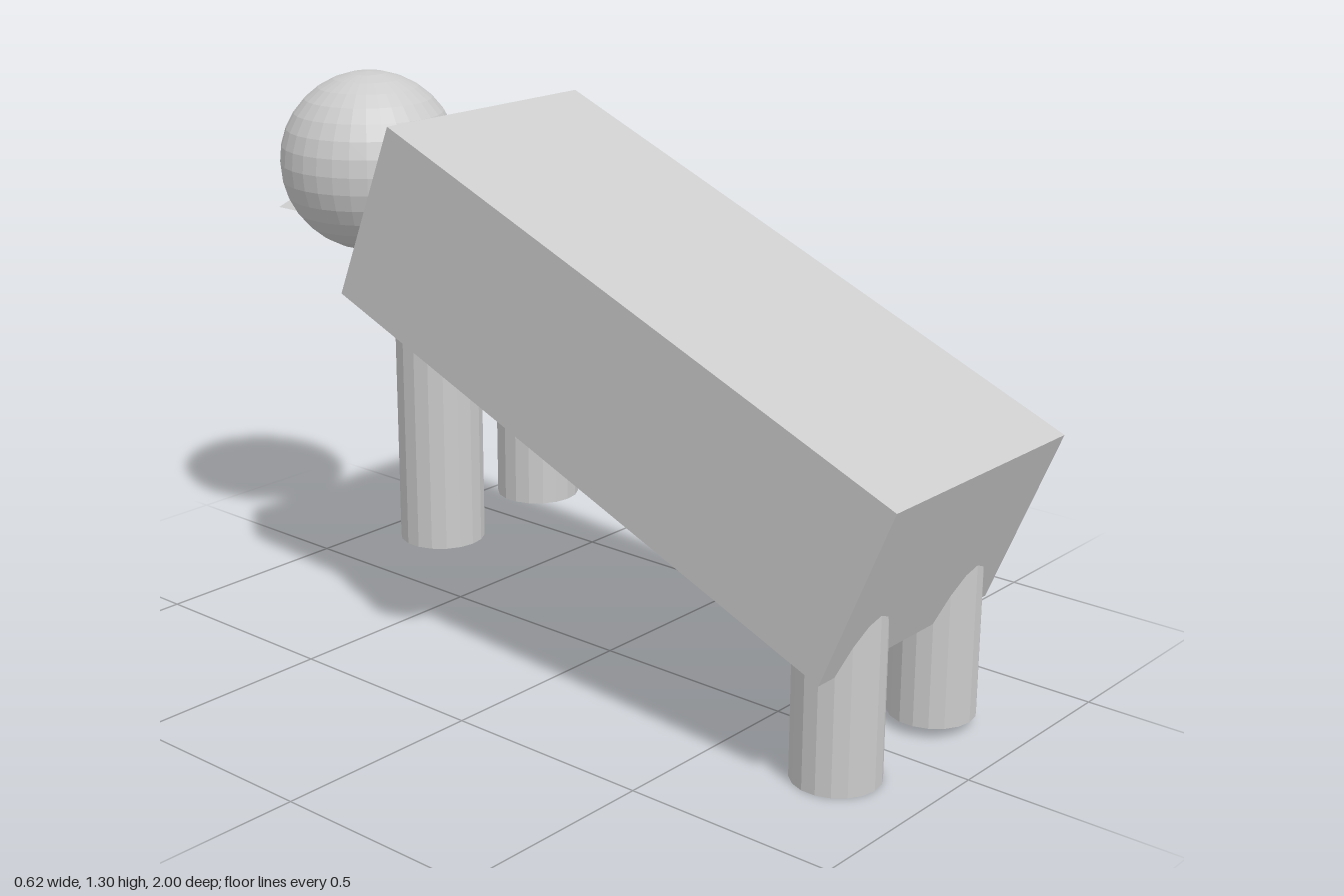
import * as THREE from 'three';

const material = new THREE.MeshStandardMaterial({ color: 0xcccccc, flatShading: true });

function add(group, name, geometry, x, y, z) {
  const mesh = new THREE.Mesh(geometry, material);
  mesh.name = name;
  mesh.position.set(x, y, z);
  group.add(mesh);
  return mesh;
}

// Pointed lens outline made of two arcs
function lens(path, halfWidth, halfHeight) {
  path.moveTo(-halfWidth, 0);
  path.quadraticCurveTo(0, -2 * halfHeight, halfWidth, 0);
  path.quadraticCurveTo(0, 2 * halfHeight, -halfWidth, 0);
  return path;
}

export function createModel() {
  const model = new THREE.Group();
  model.name = 'animal';

  // Body: long box sloping down towards +z
  const body = add(model, 'body', new THREE.BoxGeometry(0.624, 0.447, 1.498), 0, 0.765, 0.2225);
  body.rotation.x = 0.392;

  // Legs: [name, x, bottom, z]
  const legLength = 0.52;
  const legs = [
    ['frontLegRight', -0.17, 0, 0.78],
    ['frontLegLeft', 0.19, 0.025, 0.78],
    ['rearLegRight', -0.17, 0.25, -0.383],
    ['rearLegLeft', 0.165, 0.27, -0.383],
  ];
  for (const [name, x, bottom, z] of legs) {
    add(model, name, new THREE.CylinderGeometry(0.1, 0.1, legLength, 18), x, bottom + legLength / 2, z);
  }

  // Neck and head
  add(model, 'neck', new THREE.BoxGeometry(0.09, 0.07, 0.15), 0, 1.0, -0.585);
  add(model, 'head', new THREE.SphereGeometry(0.22, 32, 16), 0, 1.08, -0.78);

  // Mouth: lens-shaped ring pushed into the head
  const lips = lens(new THREE.Shape(), 0.12, 0.023);
  lips.holes.push(lens(new THREE.Path(), 0.08, 0.012));
  const mouthGeometry = new THREE.ExtrudeGeometry(lips, { depth: 0.11, bevelEnabled: false, curveSegments: 12 });
  add(model, 'mouth', mouthGeometry, 0.01, 0.948, -1);

  return model;
}
